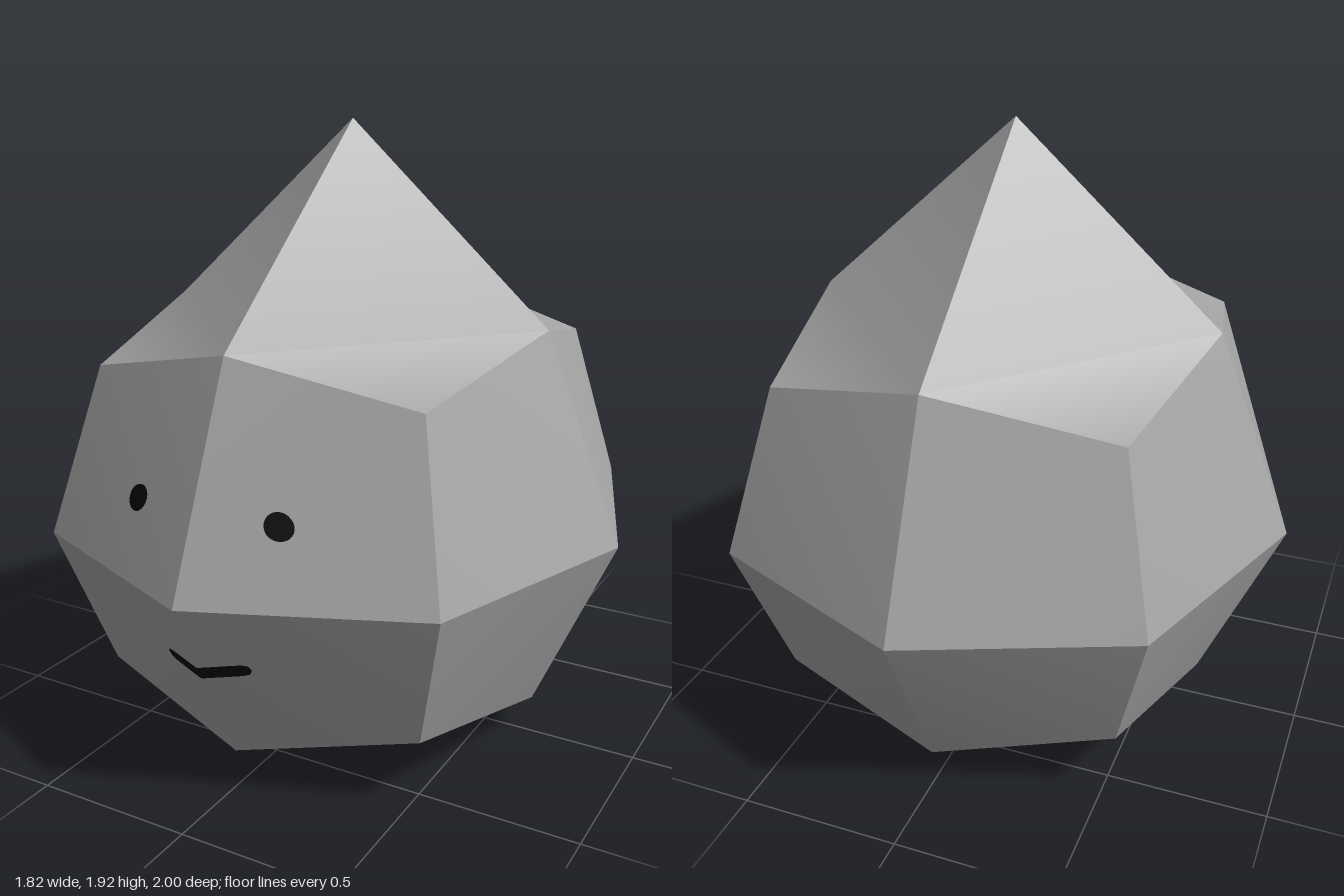
import * as THREE from 'three';

const MID = 0.69; // height of the widest ring

// Lattice corner (i, j, k each -1, 0 or 1) of a once-subdivided cube, rounded out and pulled up to a tip.
function latticePoint(i, j, k) {
  const n = Math.abs(i) + Math.abs(j) + Math.abs(k) - 1; // 0 centre, 1 edge, 2 corner
  const x = [0.91, 0.66, 0.545][n];
  const z = [1, 0.725, 0.595][n];
  const up = [1.925, 1.33, 1.21][n];
  const down = [0, 0.12, 0.235][n];
  return new THREE.Vector3(i * x, j > 0 ? up : j < 0 ? down : MID, k * z);
}

// 24 four-sided facets, each with its own smoothed normals, split along the shorter diagonal.
function bodyGeometry() {
  const positions = [];
  const index = [];
  for (let axis = 0; axis < 3; axis++) {
    for (const s of [-1, 1]) for (const a of [-1, 1]) for (const b of [-1, 1]) {
      const at = (p, q) => {
        const c = [0, 0, 0];
        c[axis] = s;
        c[(axis + 1) % 3] = p;
        c[(axis + 2) % 3] = q;
        return latticePoint(...c);
      };
      const quad = [at(0, 0), at(a, 0), at(a, b), at(0, b)];
      if (s * a * b < 0) quad.reverse();
      const o = positions.length / 3;
      quad.forEach((v) => positions.push(v.x, v.y, v.z));
      const first = quad[0].distanceTo(quad[2]) < quad[1].distanceTo(quad[3]);
      index.push(...(first ? [0, 1, 2, 0, 2, 3] : [0, 1, 3, 1, 2, 3]).map((n) => n + o));
    }
  }
  const g = new THREE.BufferGeometry();
  g.setAttribute('position', new THREE.Float32BufferAttribute(positions, 3));
  g.setIndex(index);
  g.computeVertexNormals();
  return g;
}

// Depth of the folded front surface at (x, y).
function frontZ(x, y) {
  const u = Math.abs(x);
  const v = Math.abs(y - MID);
  const [cv, ev] = y > MID ? [0.52, 0.64] : [0.455, 0.57];
  const t = Math.min(u / 0.545, v / cv);
  const rest = (u - 0.545 * t) / 0.66 + (v - cv * t) / ev;
  return 1 - 0.405 * t - 0.275 * rest;
}

// Lays a flat grid on the front surface, with place() mapping grid to (x, y).
function drape(geometry, place) {
  const p = geometry.attributes.position;
  for (let n = 0; n < p.count; n++) {
    const [x, y] = place(p.getX(n), p.getY(n));
    p.setXYZ(n, x, y, frontZ(x, y) + 0.005);
  }
  geometry.computeVertexNormals();
  return geometry;
}

export function createModel() {
  const grey = new THREE.MeshStandardMaterial({ color: 0xa6a6a6 });
  grey.name = 'grey body';
  const black = new THREE.MeshStandardMaterial({ color: 0x060606 });
  black.name = 'black face';

  const model = new THREE.Group();
  model.name = 'dropCreature';
  const add = (name, geometry, material) => {
    const mesh = new THREE.Mesh(geometry, material);
    mesh.name = name;
    model.add(mesh);
  };

  add('body', bodyGeometry(), grey);

  // Eyes: small slanted ovals
  for (const side of [-1, 1]) {
    const tilt = -side * 0.6;
    const oval = new THREE.RingGeometry(0.0001, 1, 24, 3);
    add(side > 0 ? 'leftEye' : 'rightEye', drape(oval, (x, y) => {
      const ex = x * 0.043;
      const ey = y * 0.034;
      return [
        side * 0.234 + ex * Math.cos(tilt) - ey * Math.sin(tilt),
        0.915 + ex * Math.sin(tilt) + ey * Math.cos(tilt),
      ];
    }), black);
  }

  // Mouth: a shallow bent stroke with rounded ends
  const stroke = new THREE.PlaneGeometry(2, 2, 40, 4);
  add('mouth', drape(stroke, (x, y) => {
    const px = 0.015 + x * 0.138;
    const half = 0.021 * Math.sqrt(Math.max(0, 1 - Math.abs(x) ** 12));
    return [px, 0.454 + 0.21 * Math.abs(px) + y * half];
  }), black);

  return model;
}
